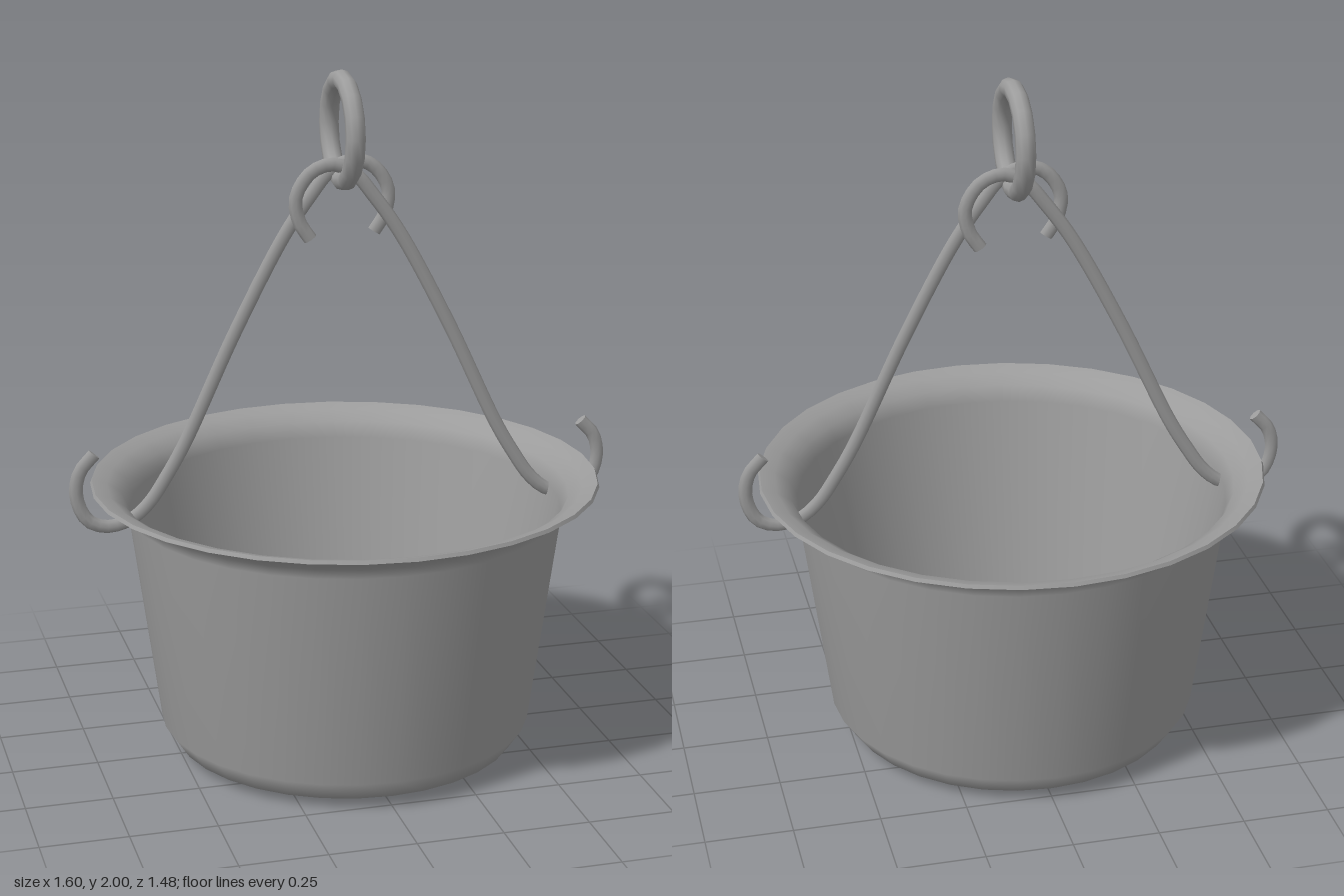
import * as THREE from 'three';

const SIDES = 32;

export function createModel() {
  const group = new THREE.Group();
  const iron = new THREE.MeshStandardMaterial({ color: 0x9c9c9c });
  iron.name = 'iron grey';

  const add = (parent, name, geometry) => {
    const mesh = new THREE.Mesh(geometry, iron);
    mesh.name = name;
    parent.add(mesh);
    return mesh;
  };
  const vectors = (points) => points.map(([x, y]) => new THREE.Vector2(x, y));

  // Pot: separate lathed shells keep the floor and rim edges crisp
  const pot = new THREE.Group();
  pot.name = 'pot';
  group.add(pot);
  const shells = {
    underside: [[0, 0], [0.425, 0]],
    outerWall: [[0.425, 0], [0.505, 0.03], [0.545, 0.09], [0.632, 0.735], [0.643, 0.765], [0.675, 0.793], [0.738, 0.815]],
    rimEdge: [[0.738, 0.815], [0.733, 0.825]],
    innerWall: [[0.733, 0.825], [0.69, 0.812], [0.65, 0.785], [0.628, 0.74], [0.5, 0.05]],
    floor: [[0.5, 0.05], [0, 0.05]],
  };
  for (const [name, points] of Object.entries(shells)) {
    add(pot, name, new THREE.LatheGeometry(vectors(points), SIDES));
  }

  // Handle rod: pot hook, long arm and top hook in one flattened bar
  const rodPath = [
    [0.725, 0.93], [0.768, 0.88], [0.78, 0.81], [0.75, 0.735], [0.695, 0.71],
    [0.625, 0.725], [0.57, 0.77], [0.515, 0.85], [0.46, 0.945], [0.31, 1.26],
    [0.165, 1.53], [0.085, 1.645], [0.03, 1.71], [-0.035, 1.74], [-0.1, 1.718],
    [-0.142, 1.65], [-0.132, 1.58], [-0.1, 1.53],
  ];
  function makeRod(name, side, z) {
    const curve = new THREE.CatmullRomCurve3(
      rodPath.map(([x, y]) => new THREE.Vector3(side * x, y, 0)));
    const rod = new THREE.Group();
    rod.name = name;
    rod.position.z = z;
    rod.scale.z = 0.65;
    add(rod, 'bar', new THREE.TubeGeometry(curve, 72, 0.02, 8));
    // Flat caps on both ends
    for (const t of [0, 1]) {
      const cap = add(rod, 'barEnd', new THREE.CircleGeometry(0.02, 8));
      const direction = curve.getTangent(t).multiplyScalar(t ? 1 : -1);
      cap.position.copy(curve.getPoint(t));
      cap.quaternion.setFromUnitVectors(new THREE.Vector3(0, 0, 1), direction);
    }
    group.add(rod);
  }
  makeRod('leftRod', 1, 0);
  makeRod('rightRod', -1, -0.05);

  // Hanging ring joining both rods
  const ring = add(group, 'hangingRing', new THREE.TorusGeometry(0.143, 0.028, 10, 16));
  ring.rotation.y = Math.PI / 2;
  ring.position.set(0, 1.83, -0.028);

  return group;
}
